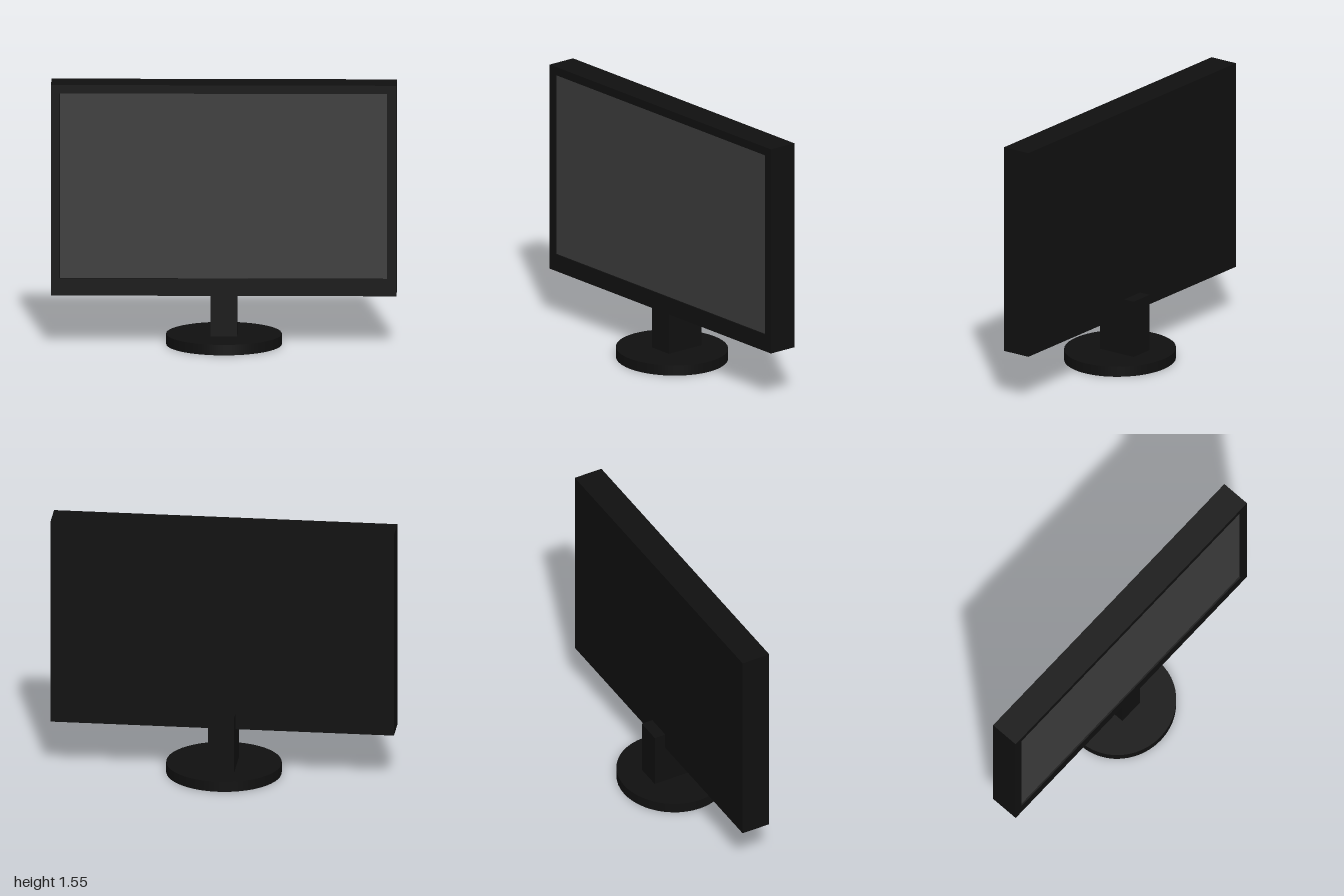
import * as THREE from 'three';

const black = new THREE.MeshStandardMaterial({ color: 0x101010 });
const grey = new THREE.MeshStandardMaterial({ color: 0x3c3c3c });

function add(group, name, geometry, material, x, y, z) {
  const mesh = new THREE.Mesh(geometry, material);
  mesh.name = name;
  mesh.position.set(x, y, z);
  group.add(mesh);
  return mesh;
}

// Box given by its lower and upper corners
function addBox(group, name, material, [x0, y0, z0], [x1, y1, z1]) {
  const geometry = new THREE.BoxGeometry(x1 - x0, y1 - y0, z1 - z0);
  return add(group, name, geometry, material, (x0 + x1) / 2, (y0 + y1) / 2, (z0 + z1) / 2);
}

function rectangle(PathType, x0, y0, x1, y1) {
  return new PathType([[x0, y0], [x1, y0], [x1, y1], [x0, y1]].map(([x, y]) => new THREE.Vector2(x, y)));
}

export function createModel() {
  const model = new THREE.Group();
  model.name = 'monitor';

  const depth = 0.088; // half the casing depth
  const recess = 0.01; // how far the screen sits behind the bezel
  const bottom = 0.303, top = 1.55;

  // Casing behind the screen
  addBox(model, 'casing', black, [-1, bottom, -depth], [1, top, depth - recess]);

  // Bezel frame around the screen, wider along the bottom
  const frame = rectangle(THREE.Shape, -1, bottom, 1, top);
  frame.holes.push(rectangle(THREE.Path, -0.95, 0.405, 0.945, 1.5));
  const bezel = new THREE.ExtrudeGeometry(frame, { depth: recess, bevelEnabled: false });
  add(model, 'bezel', bezel, black, 0, 0, depth - recess);

  // Screen panel
  const panel = new THREE.PlaneGeometry(1.895, 1.095);
  add(model, 'screen', panel, grey, -0.0025, 0.9525, depth - recess + 0.001);

  // Neck: a post under the casing and a taller bracket up its back
  addBox(model, 'neckPost', black, [-0.077, 0.06, -depth], [0.077, bottom, depth]);
  addBox(model, 'neckBracket', black, [-0.077, 0.06, -0.157], [0.077, 0.4, -depth]);

  // Slightly oval foot
  const foot = new THREE.CylinderGeometry(1, 1, 0.062, 48);
  foot.scale(0.335, 1, 0.318);
  add(model, 'foot', foot, black, 0, 0.031, 0);

  return model;
}
